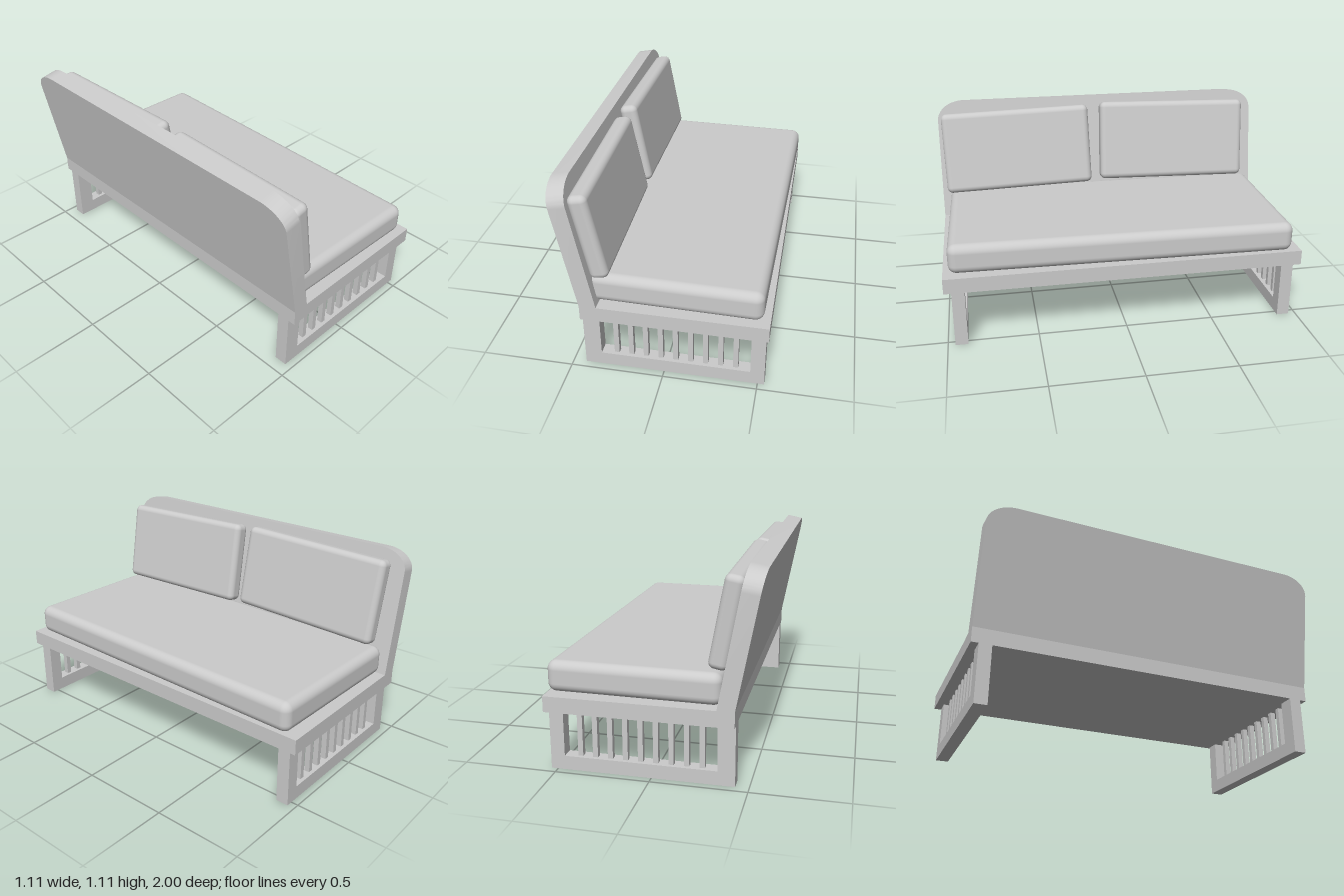
import * as THREE from 'three';
import { toCreasedNormals } from 'three/addons/utils/BufferGeometryUtils.js';
import { RoundedBoxGeometry } from 'three/addons/geometries/RoundedBoxGeometry.js';

const material = new THREE.MeshStandardMaterial({ color: 0xcccccc });

function add(parent, name, geometry, x = 0, y = 0, z = 0) {
  const mesh = new THREE.Mesh(geometry, material);
  mesh.name = name;
  mesh.position.set(x, y, z);
  parent.add(mesh);
  return mesh;
}

// Box given by its limits in x and y, centred on z
function beam(parent, name, x0, x1, y0, y1, z, depth) {
  return add(parent, name, new THREE.BoxGeometry(x1 - x0, y1 - y0, depth),
    (x0 + x1) / 2, (y0 + y1) / 2, z);
}

// Panel with rounded upper corners, sheared backwards from its foot
function backrestGeometry() {
  const foot = 0.41, top = 1.09, thickness = 0.09, rx = 0.16, ry = 0.11;
  const shape = new THREE.Shape();
  shape.moveTo(-1, foot);
  shape.lineTo(1, foot);
  shape.lineTo(1, top - ry);
  shape.absellipse(1 - rx, top - ry, rx, ry, 0, Math.PI / 2);
  shape.lineTo(-1 + rx, top);
  shape.absellipse(-1 + rx, top - ry, rx, ry, Math.PI / 2, Math.PI);
  shape.lineTo(-1, foot);
  const geometry = new THREE.ExtrudeGeometry(shape, { depth: thickness, bevelEnabled: false, curveSegments: 10 });
  geometry.rotateY(Math.PI / 2);
  const p = geometry.attributes.position;
  for (let i = 0; i < p.count; i++) {
    const x = p.getX(i), rise = p.getY(i) - foot;
    p.setX(i, -0.43 + x - rise * 0.191);
    p.setY(i, foot + rise + x * 0.2 * rise / (top - foot));
  }
  return toCreasedNormals(geometry, 0.5);
}

// Open frame with slats that carries one end of the seat
function endFrame(side) {
  const frame = new THREE.Group();
  frame.name = side > 0 ? 'leftEndFrame' : 'rightEndFrame';
  const z = side * 0.925, depth = 0.07;
  beam(frame, 'backLeg', -0.43, -0.34, 0, 0.325, z, depth);
  beam(frame, 'frontLeg', 0.46, 0.535, 0, 0.325, z, depth);
  beam(frame, 'bottomRail', -0.34, 0.46, 0, 0.075, z, depth);
  for (let i = 0; i < 9; i++) {
    const x = -0.26 + i * 0.08;
    beam(frame, 'slat', x - 0.0135, x + 0.0135, 0.075, 0.325, z, 0.03);
  }
  return frame;
}

export function createModel() {
  const sofa = new THREE.Group();
  sofa.name = 'sofa';

  // Frame
  beam(sofa, 'seatBase', -0.43, 0.55, 0.325, 0.41, 0, 2);
  add(sofa, 'backrest', backrestGeometry());
  for (const side of [1, -1]) sofa.add(endFrame(side));

  // Seat cushion, lying slightly askew
  const seat = add(sofa, 'seatCushion', new RoundedBoxGeometry(0.91, 0.167, 1.915, 5, 0.048), 0.079, 0.4935, 0.003);
  seat.rotation.y = -0.02;

  // Back cushions, leaning on the backrest and tilted towards the ends
  const cushions = [
    { name: 'leftBackCushion', length: 0.9, y: 0.817, z: 0.525, tilt: 0.025 },
    { name: 'rightBackCushion', length: 0.925, y: 0.828, z: -0.455, tilt: -0.025 },
  ];
  for (const { name, length, y, z, tilt } of cushions) {
    const cushion = add(sofa, name, new RoundedBoxGeometry(0.102, 0.485, length, 5, 0.034), -0.367, y, z);
    cushion.rotation.order = 'ZXY';
    cushion.rotation.set(tilt, 0, 0.188);
  }
  return sofa;
}
